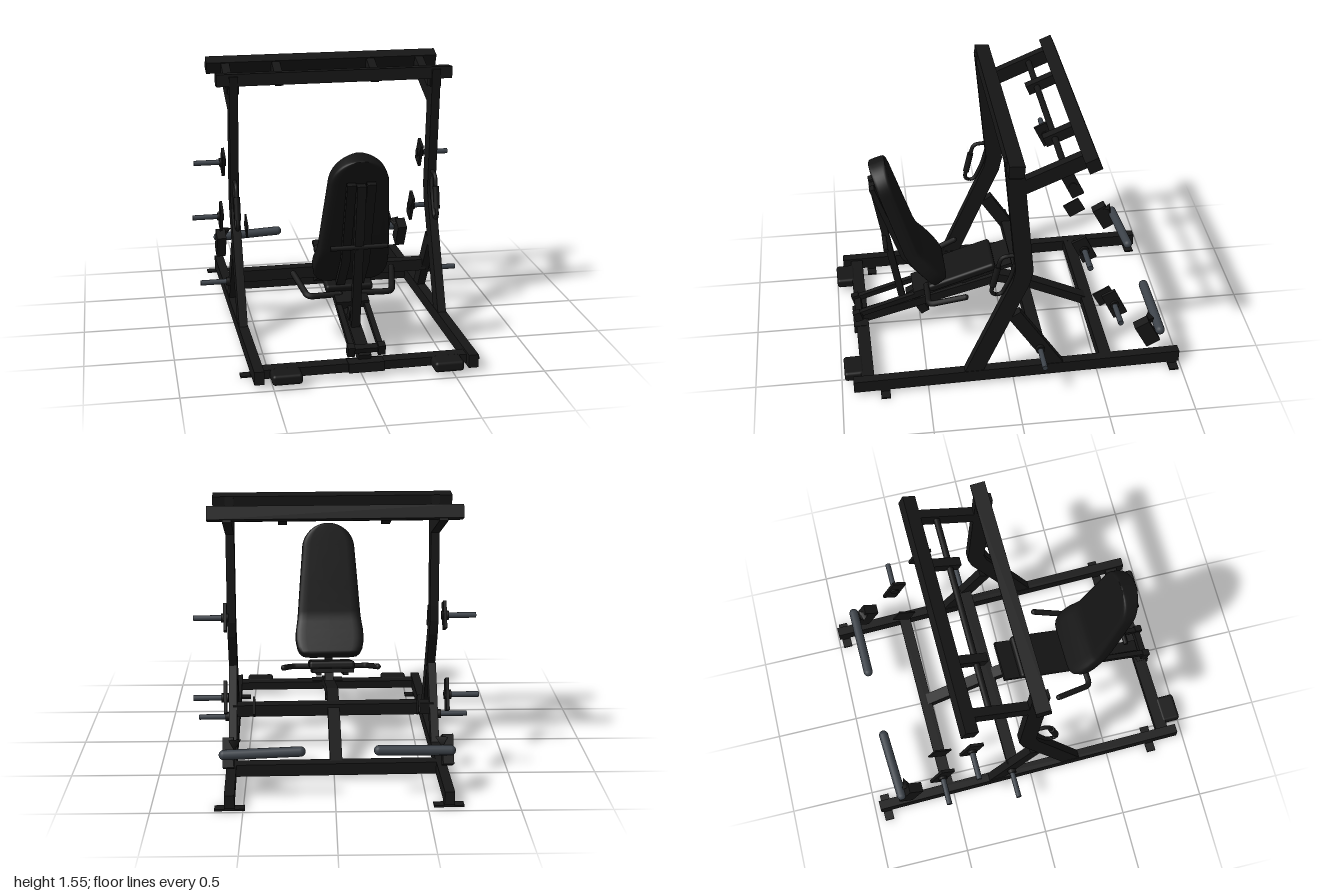
import * as THREE from 'three';
import { RoundedBoxGeometry } from 'three/addons/geometries/RoundedBoxGeometry.js';

const steel = new THREE.MeshStandardMaterial({ color: 0x161616 });
const grey = new THREE.MeshStandardMaterial({ color: 0x3c4249 });
const padMat = new THREE.MeshStandardMaterial({ color: 0x141414 });
const V = (x, y, z) => new THREE.Vector3(x, y, z);

export function createModel() {
  const model = new THREE.Group();
  model.name = 'chestPressMachine';
  const frame = new THREE.Group();
  frame.name = 'machine';
  frame.rotation.y = 0.022;
  model.add(frame);

  const add = (name, geo, mat = steel) => {
    const m = new THREE.Mesh(geo, mat);
    m.name = name;
    frame.add(m);
    return m;
  };
  // box by size and centre, tilted about x
  const box = (name, w, h, d, x, y, z, tilt = 0) => {
    const m = add(name, new THREE.BoxGeometry(w, h, d));
    m.position.set(x, y, z);
    m.rotation.x = tilt;
    return m;
  };
  // mitred beam through [z, y] points, lying in a plane of constant x
  const beam = (name, pts, depth, width, x) => {
    const p = pts.map(([z, y]) => new THREE.Vector2(z, y));
    const left = [], right = [];
    p.forEach((q, i) => {
      const a = q.clone().sub(p[Math.max(i - 1, 0)]).normalize();
      const b = p[Math.min(i + 1, p.length - 1)].clone().sub(q).normalize();
      const t = a.clone().add(b).normalize();
      const along = i ? a : b;
      const off = depth / 2 / t.dot(along);
      left.push(V2(q.x - t.y * off, q.y + t.x * off));
      right.unshift(V2(q.x + t.y * off, q.y - t.x * off));
    });
    const geo = new THREE.ExtrudeGeometry(new THREE.Shape([...left, ...right]), { depth: width, bevelEnabled: false });
    geo.translate(0, 0, -width / 2).rotateY(-Math.PI / 2);
    add(name, geo).position.x = x;
  };
  // round bar between two points
  const rod = (name, a, b, r, mat = steel, round = false) => {
    const len = a.distanceTo(b);
    const geo = round ? new THREE.CapsuleGeometry(r, len - 2 * r, 6, 16) : new THREE.CylinderGeometry(r, r, len, 16);
    const m = add(name, geo, mat);
    m.position.copy(a).lerp(b, 0.5);
    m.quaternion.setFromUnitVectors(V(0, 1, 0), b.clone().sub(a).normalize());
  };
  const tube = (name, pts, r) => {
    const path = new THREE.CurvePath();
    // straight runs with rounded corners
    let start = pts[0];
    for (let i = 1; i < pts.length - 1; i++) {
      const k = 0.035;
      const q = pts[i];
      const a = q.clone().add(pts[i - 1].clone().sub(q).setLength(k));
      const b = q.clone().add(pts[i + 1].clone().sub(q).setLength(k));
      path.add(new THREE.LineCurve3(start, a));
      path.add(new THREE.QuadraticBezierCurve3(a, q, b));
      start = b;
    }
    path.add(new THREE.LineCurve3(start, pts[pts.length - 1]));
    add(name, new THREE.TubeGeometry(path, 48, r, 10));
    for (const e of [pts[0], pts[pts.length - 1]])
      add(name + 'End', new THREE.SphereGeometry(r, 10, 8)).position.copy(e);
  };

  // Cross members of the base and the top
  box('frontCrossBar', 1.17, 0.05, 0.075, 0, 0.057, 0.86);
  box('frontJoint', 0.2, 0.055, 0.075, 0, 0.058, 0.875);
  box('rearCrossBar', 1.22, 0.07, 0.07, 0, 0.06, -0.54);
  box('middleCrossBar', 1.19, 0.07, 0.07, 0, 0.26, -0.125);
  box('topFrontBar', 1.38, 0.07, 0.085, 0, 1.492, 0.015, -0.08);
  box('topRearBar', 1.41, 0.075, 0.075, 0, 1.503, -0.39, 0.39);
  rod('pullUpBar', V(-0.57, 1.445, -0.255), V(0.57, 1.445, -0.255), 0.018);

  for (const s of [-1, 1]) {
    const x = s * 0.594;
    // Base rail, feet and front pads
    box('baseRail', 0.055, 0.075, 1.925, x, 0.058, -0.017);
    for (const z of [0.765, -0.94]) {
      box('footPlate', 0.165, 0.01, 0.055, x, 0.005, z);
      box('footBlock', 0.055, 0.02, 0.055, x, 0.015, z);
    }
    add('floorPad', new RoundedBoxGeometry(0.165, 0.06, 0.115, 3, 0.018)).position.set(s * 0.447, 0.055, 0.935);

    // Bent upright, rear brace and overhead arm
    beam('upright', [[0.02, 1.52], [-0.037, 0.87], [-0.044, 0.79], [-0.026, 0.71], [0.26, 0.06]], 0.1, 0.05, x);
    beam('rearBrace', [[0.01, 0.48], [-0.255, 0.06]], 0.08, 0.048, x);
    beam('overheadArm', [[-0.01, 1.335], [-0.42, 1.505]], 0.085, 0.05, x);
    beam('pullUpBracket', [[-0.2, 1.425], [-0.38, 1.5]], 0.06, 0.05, s * 0.29);
    box('uprightGusset', 0.065, 0.06, 0.07, x, 1.44, 0.01, -0.08);

    // Loop handle on the upright
    tube('loopHandle', [V(x, 0.89, -0.02), V(x, 0.885, 0.085), V(x, 0.635, 0.145), V(x, 0.62, 0.085), V(x, 0.74, 0.03), V(x, 0.85, 0.0)], 0.012);
    rod('loopGrip', V(x, 0.82, 0.102), V(x, 0.69, 0.132), 0.019);

    // Weight pegs on their tilted plates
    for (const [y, z, h] of [[0.905, -0.375, 0.155], [0.5, -0.565, 0.18], [0.22, -0.14, 0]]) {
      rod('weightPeg', V(s * 0.61, y, z), V(s * 0.795, y, z), 0.016, grey);
      rod('pegCollar', V(s * 0.6, y, z), V(s * 0.64, y, z), 0.026);
      if (h) box('pegPlate', 0.018, h, 0.085, s * 0.617, y, z, 0.45);
    }
    box('innerPlate', 0.01, 0.1, 0.11, s * 0.46, 0.435, -0.545, 0.5);

    // Roller bracket with a triangular gusset
    box('rollerBracket', 0.06, 0.165, 0.09, s * 0.6, 0.255, -0.775, 0.49);
    const wedge = add('rollerGusset', new THREE.ConeGeometry(0.04, 0.06, 3));
    wedge.position.set(s * 0.555, 0.33, -0.795);
    wedge.rotation.z = s * 1.1;

    // Seat side handle and slide rail
    tube('seatHandle', [V(s * 0.06, 0.32, 0.46), V(s * 0.245, 0.318, 0.465), V(s * 0.292, 0.385, 0.25)], 0.018);
    beam('slideRail', [[0.88, 0.165], [0, 0.438]], 0.032, 0.03, s * 0.08);
    box('railEnd', 0.04, 0.06, 0.045, s * 0.085, 0.155, 0.885, 0.3);
    beam('backStrip', [[0.752, 1.05], [0.59, 0.56], [0.45, 0.385]], 0.03, 0.05, s * 0.055);
  }

  // Rollers at the rear
  rod('rightRoller', V(-0.64, 0.275, -0.83), V(-0.19, 0.29, -0.85), 0.028, grey, true);
  rod('leftRoller', V(0.18, 0.29, -0.848), V(0.65, 0.275, -0.848), 0.028, grey, true);

  // Central beam, seat struts and carriage
  beam('centralBeam', [[0.86, 0.085], [0.02, 0.305], [-0.15, 0.25], [-0.52, 0.07]], 0.055, 0.07, 0);
  beam('backPost', [[0.745, 1.04], [0.6, 0.17]], 0.04, 0.05, 0);
  beam('seatStrut', [[0.56, 0.26], [0.47, 0.09]], 0.055, 0.055, 0);
  box('seatCarriage', 0.19, 0.045, 0.14, 0, 0.3, 0.47, 0.3);
  box('railCrossPlate', 0.2, 0.03, 0.04, 0, 0.155, 0.875, 0.3);
  rod('backCrossRod', V(-0.16, 0.675, 0.695), V(0.16, 0.675, 0.695), 0.014);

  // Sloping seat
  const seat = add('seat', new RoundedBoxGeometry(0.275, 0.05, 0.42, 3, 0.018), padMat);
  seat.position.set(0, 0.405, 0.25);
  seat.rotation.x = 0.31;
  box('seatPlate', 0.25, 0.025, 0.32, 0, 0.42, 0.1, 0.31);

  add('backrest', backrestGeometry(), padMat);
  return model;
}

const V2 = (x, y) => new THREE.Vector2(x, y);

// Backrest lofted from rounded sections: [distance up the pad, half width]
function backrestGeometry() {
  const stations = [[0, 0.15], [0.006, 0.172], [0.02, 0.19], [0.05, 0.205], [0.1, 0.214], [0.16, 0.213], [0.22, 0.205], [0.26, 0.2], [0.3, 0.197], [0.5, 0.182]];
  for (let i = 0; i <= 12; i++) {
    const a = (i / 12) * Math.PI / 2;
    stations.push([0.7 + 0.166 * Math.sin(a), Math.max(0.166 * Math.cos(a), 0.01)]);
  }
  const spine = new THREE.CatmullRomCurve3([V(0, 0.415, 0.38), V(0, 0.515, 0.455), V(0, 0.615, 0.532), V(0, 0.8, 0.595), V(0, 1.19, 0.715)]);
  const N = 28, pos = [], idx = [];
  stations.forEach(([v, w], i) => {
    const u = Math.min(v / 0.866, 1);
    const c = spine.getPointAt(u), t = spine.getTangentAt(u);
    const edge = i === 0 || i === stations.length - 1 ? 0.037 : 0.048;
    for (let j = 0; j < N; j++) {
      const a = (j / N) * Math.PI * 2;
      const sq = (k, p) => Math.sign(k) * Math.abs(k) ** p;
      const x = w * sq(Math.cos(a), 0.25), n = edge * sq(Math.sin(a), 0.4);
      pos.push(x, c.y - t.z * n, c.z + t.y * n);
    }
  });
  const rows = stations.length;
  for (let i = 0; i < rows - 1; i++)
    for (let j = 0; j < N; j++) {
      const a = i * N + j, b = i * N + (j + 1) % N;
      idx.push(a, a + N, b, b, a + N, b + N);
    }
  for (let j = 1; j < N - 1; j++) {
    const e = (rows - 1) * N;
    idx.push(0, j, j + 1, e, e + j + 1, e + j);
  }
  const geo = new THREE.BufferGeometry();
  geo.setAttribute('position', new THREE.Float32BufferAttribute(pos, 3));
  geo.setIndex(idx);
  geo.computeVertexNormals();
  return geo;
}
